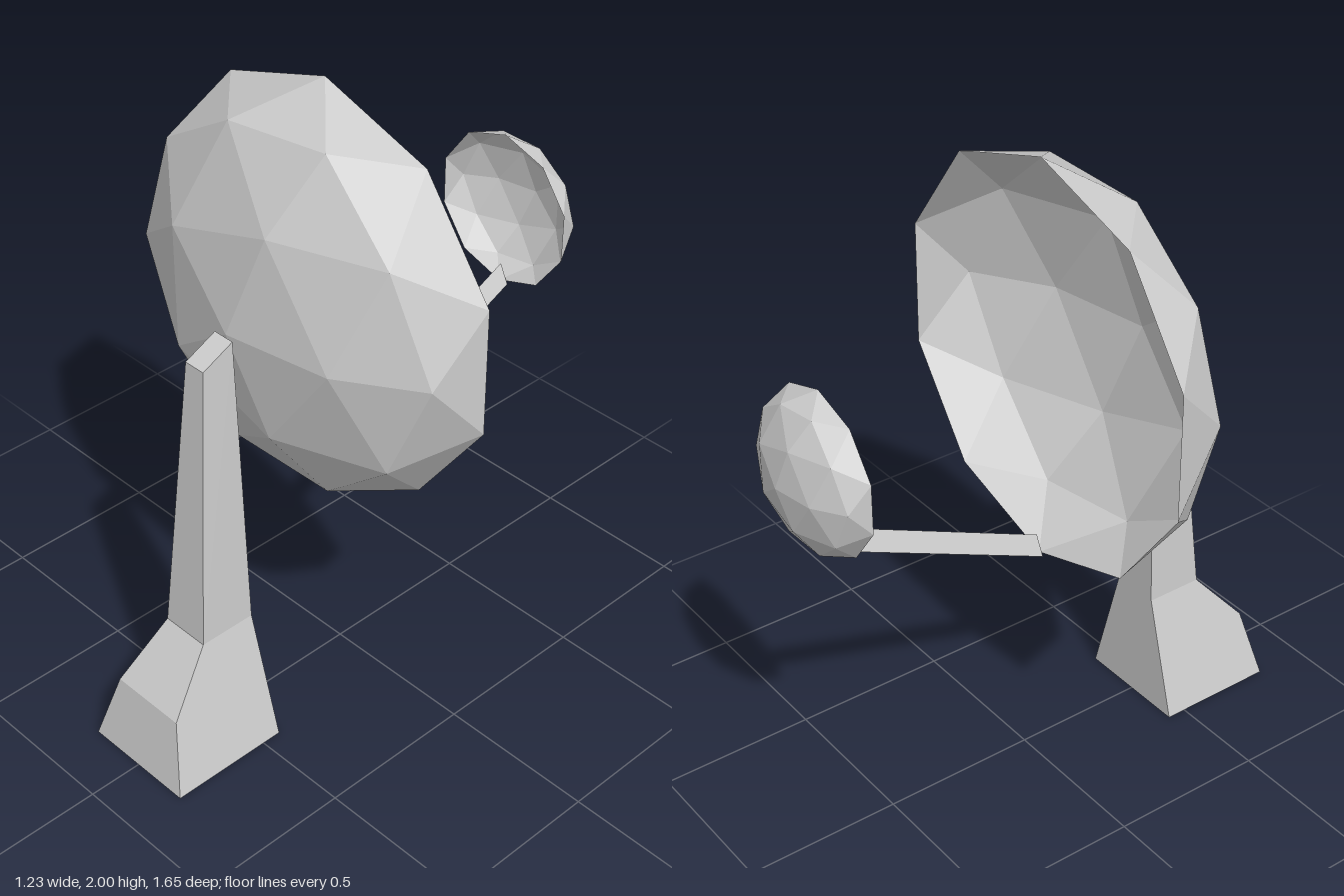
import * as THREE from 'three';

const material = new THREE.MeshStandardMaterial({ color: 0xcccccc, flatShading: true, side: THREE.DoubleSide });

function addMesh(group, name, positions) {
  const geometry = new THREE.BufferGeometry();
  geometry.setAttribute('position', new THREE.Float32BufferAttribute(positions, 3));
  geometry.computeVertexNormals();
  const mesh = new THREE.Mesh(geometry, material);
  mesh.name = name;
  group.add(mesh);
  return mesh;
}

// Open half of a once-divided icosahedron, its pole along +z
function halfIcosphere() {
  const at = (deg, z) => {
    const a = THREE.MathUtils.degToRad(deg), r = Math.sqrt(1 - z * z);
    return [r * Math.cos(a), r * Math.sin(a), z];
  };
  const pole = [0, 0, 1];
  const ring = k => at(72 * k, 0.8507);
  const corner = k => at(72 * k, 0.4472);
  const mid = k => at(72 * k + 36, 0.5257);
  const rim = k => at(36 * k - 18, 0);
  const out = [];
  for (let k = 0; k < 5; k++) {
    out.push(
      pole, ring(k), ring(k + 1),
      ring(k), corner(k), mid(k),
      ring(k), mid(k), ring(k + 1),
      ring(k + 1), mid(k), corner(k + 1),
      corner(k), rim(2 * k), rim(2 * k + 1),
      corner(k), rim(2 * k + 1), mid(k),
      mid(k), rim(2 * k + 1), rim(2 * k + 2),
      corner(k + 1), mid(k), rim(2 * k + 2));
  }
  return out.flat();
}

// Joins loops of points (counter-clockwise seen from the last loop), with optional caps
function loft(loops, capStart, capEnd) {
  const out = [], n = loops[0].length;
  for (let i = 0; i + 1 < loops.length; i++) {
    for (let j = 0; j < n; j++) {
      const m = (j + 1) % n;
      const [a, b, c, d] = [loops[i][j], loops[i][m], loops[i + 1][m], loops[i + 1][j]];
      out.push(a, b, c, a, c, d);
    }
  }
  const first = loops[0], last = loops[loops.length - 1];
  for (let j = 1; j + 1 < n; j++) {
    if (capStart) out.push(first[0], first[j + 1], first[j]);
    if (capEnd) out.push(last[0], last[j], last[j + 1]);
  }
  return out.flat();
}

export function createModel() {
  const group = new THREE.Group();
  group.name = 'dishAntenna';

  // Main bowl, bulging to the front
  const dish = addMesh(group, 'dish', halfIcosphere());
  dish.scale.set(0.647, 0.647, 0.375);
  dish.position.set(0, 1.353, 0.055);

  // Small receiver bowl facing the dish
  const receiver = addMesh(group, 'receiver', halfIcosphere());
  receiver.scale.set(0.2525, 0.2525, 0.15);
  receiver.rotation.y = Math.PI;
  receiver.position.set(0, 1.288, -0.676);

  // Three-sided arm from the dish rim to the receiver
  const armSection = (y, z) => [[-0.025, y, z], [0.005, y + 0.063, z], [0.035, y, z]];
  addMesh(group, 'receiverArm', loft([armSection(0.705, 0.05), armSection(1.035, -0.676)], true, true));

  // Tapering stand with a flat back, open underneath: half width, front y, front z, back y
  const back = 0.437;
  const levels = [
    [0.19, 0, 0.827, 0],
    [0.128, 0.225, 0.777, 0.225],
    [0.08, 0.4, 0.624, 0.4],
    [0.036, 1.3, 0.544, 1.35],
  ];
  const standLoops = levels.map(([w, y, z, yBack]) =>
    [[-w, y, z], [w, y, z], [w, yBack, back], [-w, yBack, back]]);
  addMesh(group, 'stand', loft(standLoops, false, true));

  return group;
}
